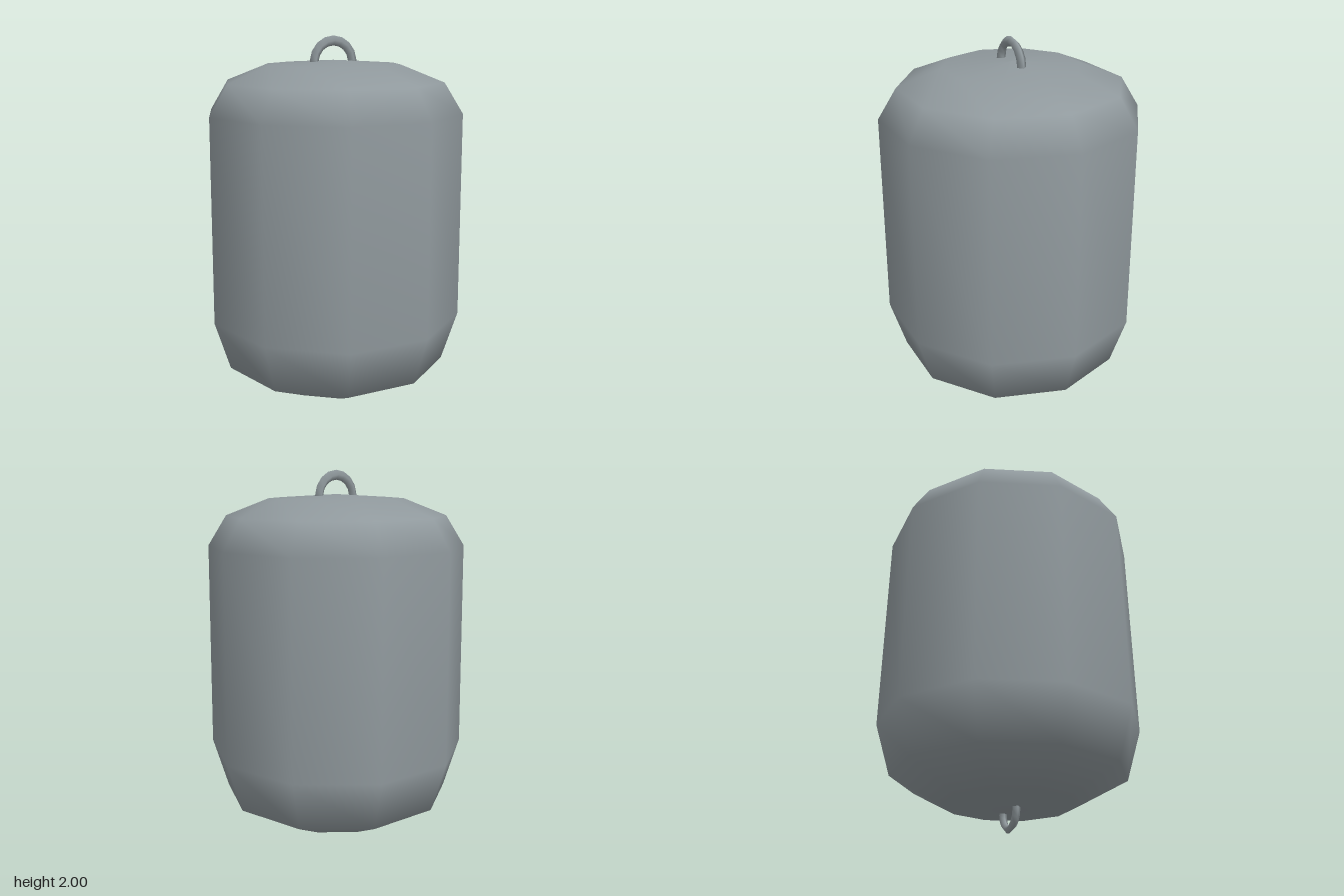
import * as THREE from 'three';

const material = new THREE.MeshStandardMaterial({ color: 0x90999d, side: THREE.DoubleSide });

// Hanging ring with a diamond section: a bit more than half a torus, its ends sunk into the body
function ring(name, radius, tube, y, flip) {
  const arc = Math.PI * 1.2;
  const geometry = new THREE.TorusGeometry(radius, tube, 4, 10, arc);
  geometry.rotateZ((Math.PI - arc) / 2 + (flip ? Math.PI : 0));
  const mesh = new THREE.Mesh(geometry, material);
  mesh.name = name;
  mesh.position.y = y;
  return mesh;
}

export function createModel() {
  const group = new THREE.Group();
  group.name = 'hangingCapsule';

  // Ten-sided, smooth-shaded body with a corner on the x axis
  const profile = [
    [0, 0.105], [0.335, 0.133], [0.605, 0.275], [0.685, 0.54],
    [0.67, 1.615], [0.573, 1.77], [0.35, 1.857], [0, 1.878],
  ].map(([r, y]) => new THREE.Vector2(r, y));
  const body = new THREE.Mesh(new THREE.LatheGeometry(profile, 10, Math.PI / 2), material);
  body.name = 'body';
  group.add(body);

  // Rings at the top and bottom
  group.add(ring('topRing', 0.108, 0.025, 1.867, false));
  group.add(ring('bottomRing', 0.086, 0.021, 0.107, true));

  return group;
}
